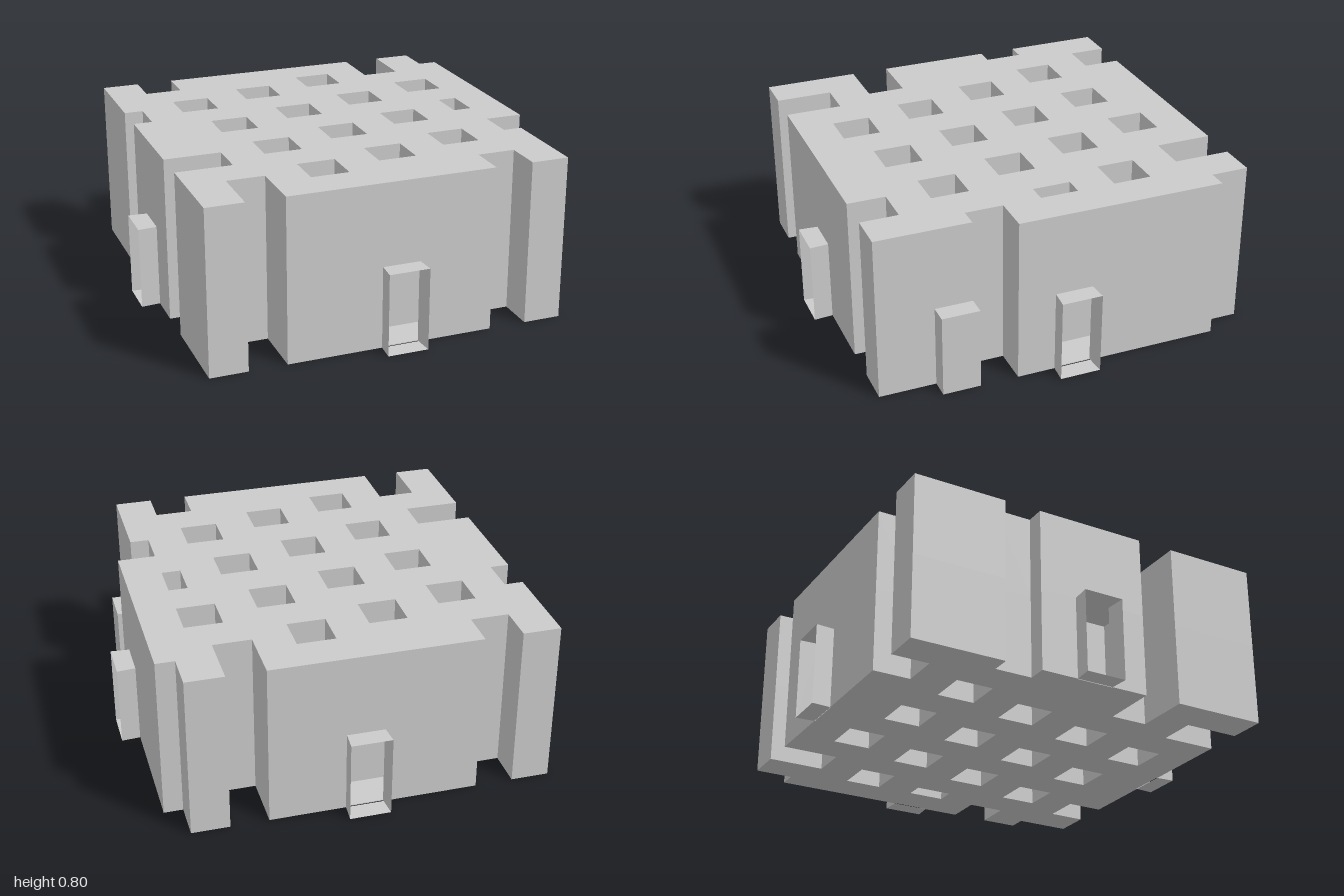
import * as THREE from 'three';

const U = 1 / 11; // plan grid unit

export function createModel() {
  const group = new THREE.Group();
  const mat = new THREE.MeshStandardMaterial({ color: 0xcccccc, flatShading: true, side: THREE.DoubleSide });
  const add = (geometry, name, parent = group) => {
    const mesh = new THREE.Mesh(geometry, mat);
    mesh.name = name;
    parent.add(mesh);
    return mesh;
  };

  // Plan points are [x, z] in grid units
  const toVec = ([x, z]) => new THREE.Vector2(x * U, -z * U);
  const turn = ([x, z], k) => {
    for (let i = 0; i < k; i++) [x, z] = [-z, x];
    return [x, z];
  };

  // Outline of each side: back, right, front, left
  const sides = [
    [[[-10, -10], [-8, -10], [-8, -8], [-6, -8], [-6, -10]],
      [[5, -10], [5, -7], [7, -7], [7, -10], [9, -10], [9, -8], [10, -8]]],
    [[], [[10, 3], [8, 3], [8, 5], [9, 5], [9, 10]]],
    [[[7, 10], [7, 8], [5, 8], [5, 10]],
      [[-6, 10], [-6, 7], [-8, 7], [-8, 10], [-10, 10]]],
    [[[-10, 5], [-7, 5], [-7, 3], [-10, 3]],
      [[-10, -3], [-9, -3], [-9, -5], [-10, -5]]],
  ];
  // Small room behind each doorway
  const room = [[-1, -10], [-1, -9.9], [-1.95, -9.9], [-1.95, -8.05],
    [1.95, -8.05], [1.95, -9.9], [1, -9.9], [1, -10]];

  const plan = (withRooms) => {
    const pts = [];
    sides.forEach(([before, after], k) => {
      pts.push(...before);
      if (withRooms) pts.push(...room.map((p) => turn(p, k)));
      pts.push(...after);
    });
    const shape = new THREE.Shape(pts.map(toVec));
    // Slanted grid of square light wells
    for (let j = 0; j < 4; j++) {
      const count = j === 0 || j === 3 ? 3 : 4;
      for (let i = 0; i < count; i++) {
        const x = -7 + 4 * i + j, z = -6 - i + 4 * j;
        const w = x === 7 ? 1 : 2;
        shape.holes.push(new THREE.Path(
          [[x, z], [x, z + 2], [x + w, z + 2], [x + w, z]].map(toVec)));
      }
    }
    return shape;
  };

  const storey = (shape, y) => new THREE.ExtrudeGeometry(shape, { depth: 0.4, bevelEnabled: false })
    .rotateX(-Math.PI / 2).translate(0, y, 0);
  add(storey(plan(true), 0), 'lowerStorey');
  add(storey(plan(false), 0.4), 'upperStorey');

  // Low post beside the right front corner
  add(new THREE.BoxGeometry(U, 0.4, 2 * U).translate(9.5 * U, 0.2, 6 * U), 'post');

  // Flared open porch and room floor on each side
  const loop = (hw, z) => [[-hw, 0, z], [hw, 0, z], [hw, 0.4, z], [-hw, 0.4, z]];
  const porchGeometry = () => {
    const verts = [...loop(U, 10 * U), ...loop(1.08 * U, 11 * U)].flat();
    const index = [];
    for (let i = 0; i < 4; i++) {
      const n = (i + 1) % 4;
      index.push(i, n, n + 4, i, n + 4, i + 4);
    }
    const g = new THREE.BufferGeometry();
    g.setAttribute('position', new THREE.Float32BufferAttribute(verts, 3));
    g.setIndex(index);
    // outward winding
    const flat = g.toNonIndexed();
    flat.computeVertexNormals();
    return flat;
  };
  ['front', 'left', 'back', 'right'].forEach((side, k) => {
    const entrance = new THREE.Group();
    entrance.name = side + 'Entrance';
    entrance.rotation.y = k * Math.PI / 2;
    add(porchGeometry(), 'porch', entrance);
    add(new THREE.BoxGeometry(3.9 * U, 0.004, 1.9 * U).translate(0, 0.002, 9 * U), 'roomFloor', entrance);
    group.add(entrance);
  });

  return group;
}
